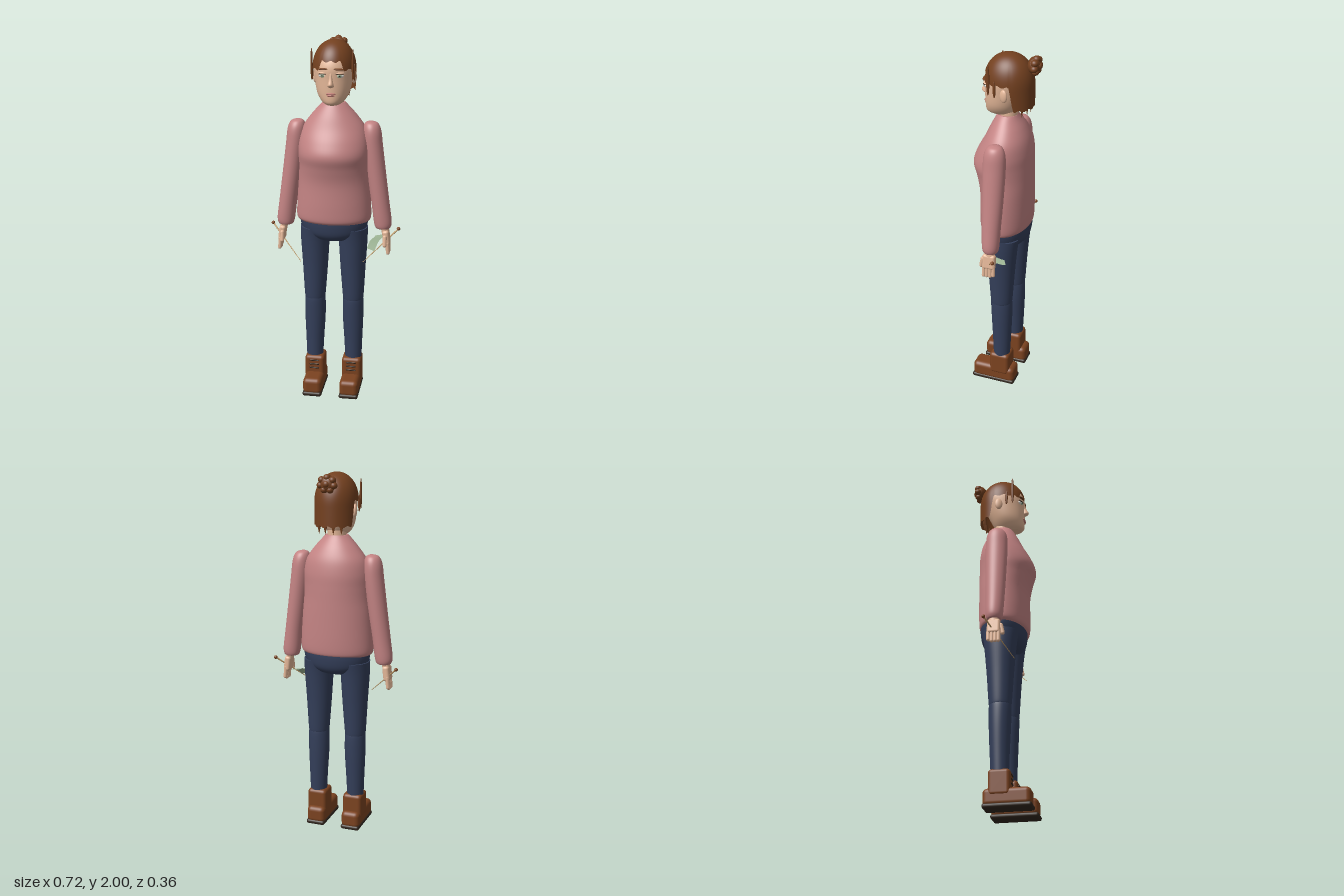
import * as THREE from 'three';
import { RoundedBoxGeometry } from 'three/addons/geometries/RoundedBoxGeometry.js';

const mat = (name, color, side = THREE.FrontSide) => {
  const m = new THREE.MeshStandardMaterial({ color, side });
  m.name = name;
  return m;
};

// Smooth interpolation through a list of number rows
function sample(rows, t) {
  const n = rows.length - 1, f = Math.min(t * n, n - 1e-6), i = Math.floor(f), u = f - i;
  const at = (k) => rows[Math.max(0, Math.min(n, k))];
  return rows[i].map((_, c) => {
    const p0 = at(i - 1)[c], p1 = at(i)[c], p2 = at(i + 1)[c], p3 = at(i + 2)[c];
    const a = (p2 - p0) / 2, b = (p3 - p1) / 2;
    return (2 * p1 - 2 * p2 + a + b) * u ** 3 + (-3 * p1 + 3 * p2 - 2 * a - b) * u * u + a * u + p1;
  });
}

// Grid surface wrapped around the y axis; point(angle, t) gives [x, y, z], t runs upward
function wrap(point, seg, steps, caps) {
  const pos = [], idx = [];
  for (let j = 0; j <= steps; j++)
    for (let i = 0; i < seg; i++) pos.push(...point((i / seg) * Math.PI * 2, j / steps));
  for (let j = 0; j < steps; j++)
    for (let i = 0; i < seg; i++) {
      const k = (i + 1) % seg, a = j * seg + i, b = j * seg + k;
      idx.push(a, b, b + seg, a, b + seg, a + seg);
    }
  if (caps) for (const t of [0, 1]) {
    const base = pos.length / 3, c = [0, 0, 0];
    for (let i = 0; i < seg; i++) {
      const p = point((i / seg) * Math.PI * 2, t);
      pos.push(...p);
      p.forEach((v, q) => { c[q] += v / seg; });
    }
    pos.push(...c);
    for (let i = 0; i < seg; i++) {
      const k = (i + 1) % seg;
      idx.push(base + seg, base + (t ? i : k), base + (t ? k : i));
    }
  }
  const g = new THREE.BufferGeometry();
  g.setAttribute('position', new THREE.Float32BufferAttribute(pos, 3));
  g.setIndex(idx);
  g.computeVertexNormals();
  return g;
}

// Oval cross-sections: [y, centre x, half width, front z, back z]
const loft = (rows, s = 1, seg = 40, steps = rows.length * 5) => wrap((a, t) => {
  const [y, cx, rx, zf, zb] = sample(rows, t);
  return [s * cx + rx * Math.sin(a), y, (zf + zb) / 2 + ((zf - zb) / 2) * Math.cos(a)];
}, seg, steps, true);

export function createModel() {
  const root = new THREE.Group();
  root.name = 'woman';
  const M = {
    wool: mat('pink wool', 0xc48484),
    denim: mat('navy denim', 0x343f5a),
    hair: mat('brown hair', 0x73401f, THREE.DoubleSide),
    skin: mat('skin', 0xe4b798),
    leather: mat('boot leather', 0x7c4320),
    dark: mat('dark brown', 0x33281f),
    wood: mat('light wood', 0xbf9a66),
    green: mat('sage green', 0x9db494, THREE.DoubleSide),
    white: mat('eye white', 0xeeeae4),
    lip: mat('lips', 0xb9746c),
  };
  const add = (name, geo, m, p = [0, 0, 0], scale = [1, 1, 1], rot = [0, 0, 0]) => {
    const mesh = new THREE.Mesh(geo, m);
    mesh.name = name;
    mesh.position.set(...p);
    mesh.scale.set(...scale);
    mesh.rotation.set(...rot);
    root.add(mesh);
    return mesh;
  };
  const ball = new THREE.SphereGeometry(1, 24, 16);
  const box = (w, h, d, r) => new RoundedBoxGeometry(w, h, d, 3, r);
  // Tapered rod between two points
  const rod = (name, a, b, ra, rb, m) => {
    const p = new THREE.Vector3(...a), q = new THREE.Vector3(...b), d = q.clone().sub(p);
    const mesh = add(name, new THREE.CylinderGeometry(rb, ra, d.length(), 12), m);
    mesh.position.copy(p).add(q).multiplyScalar(0.5);
    mesh.quaternion.setFromUnitVectors(new THREE.Vector3(0, 1, 0), d.normalize());
  };

  // Sweater body and hips
  add('sweater', loft([
    [1.02, 0, 0.192, 0.128, -0.122], [1.04, 0, 0.204, 0.14, -0.132], [1.11, 0, 0.203, 0.143, -0.136],
    [1.24, 0, 0.194, 0.144, -0.137], [1.33, 0, 0.188, 0.162, -0.137], [1.4, 0, 0.19, 0.18, -0.137],
    [1.47, 0, 0.186, 0.156, -0.135], [1.54, 0, 0.166, 0.118, -0.122], [1.6, 0, 0.124, 0.09, -0.096],
    [1.65, 0, 0.08, 0.064, -0.064], [1.67, 0, 0.06, 0.052, -0.053]], 1, 56), M.wool);
  add('hips', loft([
    [0.905, 0, 0.05, 0.05, -0.05], [0.918, 0, 0.11, 0.09, -0.09], [0.95, 0, 0.165, 0.116, -0.116],
    [1.0, 0, 0.185, 0.126, -0.126], [1.05, 0, 0.188, 0.127, -0.126]]), M.denim);
  add('neck', loft([[1.62, 0, 0.052, 0.05, -0.052], [1.76, 0, 0.05, 0.05, -0.055]]), M.skin);

  // Head
  add('head', loft([
    [1.668, 0, 0.036, 0.1, -0.02], [1.685, 0, 0.06, 0.117, -0.045], [1.73, 0, 0.086, 0.12, -0.07],
    [1.8, 0, 0.1, 0.121, -0.1], [1.87, 0, 0.105, 0.12, -0.115], [1.93, 0, 0.085, 0.09, -0.09],
    [1.97, 0, 0.03, 0.03, -0.03]]), M.skin);
  add('nose', loft([
    [1.765, 0, 0.008, 0.124, 0.1], [1.773, 0, 0.017, 0.138, 0.1], [1.785, 0, 0.015, 0.145, 0.1],
    [1.81, 0, 0.01, 0.132, 0.1], [1.845, 0, 0.008, 0.122, 0.1]], 1, 20), M.skin);
  add('upperLip', ball, M.lip, [0, 1.733, 0.118], [0.026, 0.006, 0.008]);
  add('lowerLip', ball, M.lip, [0, 1.724, 0.118], [0.021, 0.006, 0.008]);

  // Hair cap with a hem that is high at the forehead and low at the nape
  const step = THREE.MathUtils.smoothstep;
  add('hairCap', wrap((ang, t) => {
    const a = Math.min(ang, Math.PI * 2 - ang);
    const hem = 1.9 - 0.045 * step(a, 0.45, 0.62) - 0.13 * step(a, 1.8, 2.05) + 0.005 * Math.cos(a * 14);
    const y = hem + (2.0 - hem) * Math.sin((t * Math.PI) / 2);
    const h = Math.max(0, (y - 1.83) / 0.17);
    const r = Math.sqrt(Math.max(0, 1 - h ** 2.4));
    return [0.116 * r * Math.sin(ang), y, -0.007 + 0.133 * r * Math.cos(ang)];
  }, 96, 28, false), M.hair);
  for (const x of [-0.06, -0.02, 0.025, 0.065])
    add('napeLock', new THREE.ConeGeometry(0.014, 0.06, 10), M.hair,
      [x, 1.712, -0.12 + Math.abs(x) * 0.35], [1, 1, 0.7], [Math.PI, 0, 0]);

  // Bun made of a core and a ring of twisted lobes
  add('bunCore', ball, M.hair, [0, 1.95, -0.14], [0.045, 0.044, 0.034]);
  for (let i = 0; i < 7; i++) {
    const a = (i / 7) * Math.PI * 2 + Math.PI / 2;
    add('bunLobe', ball, M.hair, [0.038 * Math.cos(a), 1.95 + 0.033 * Math.sin(a), -0.15], [0.019, 0.018, 0.02]);
  }
  add('bunCentre', ball, M.hair, [0, 1.95, -0.166], [0.018, 0.018, 0.016]);

  for (const s of [1, -1]) {
    // Eyes, brows, ears and face locks
    add('eyeWhite', ball, M.white, [s * 0.045, 1.827, 0.105], [0.022, 0.011, 0.01], [0, s * 0.3, 0]);
    add('iris', ball, M.green, [s * 0.045, 1.827, 0.112], [0.011, 0.0105, 0.005], [0, s * 0.3, 0]);
    add('pupil', ball, M.dark, [s * 0.045, 1.827, 0.115], [0.005, 0.005, 0.0035]);
    add('eyelid', ball, M.skin, [s * 0.045, 1.84, 0.106], [0.025, 0.006, 0.012], [0, s * 0.3, 0]);
    add('lashLine', ball, M.dark, [s * 0.045, 1.835, 0.11], [0.024, 0.0025, 0.009], [0, s * 0.3, s * -0.08]);
    add('brow', ball, M.hair, [s * 0.042, 1.861, 0.112], [0.028, 0.0055, 0.01], [0, s * 0.25, s * -0.06]);
    add('ear', ball, M.skin, [s * 0.104, 1.803, -0.012], [0.012, 0.035, 0.022], [0, s * -0.3, 0]);
    add('faceLock', ball, M.hair, [s * 0.108, 1.88, 0.07], [0.006, 0.082, 0.009]);
    add('earLock', ball, M.hair, [s * 0.111, 1.835, 0.035], [0.006, 0.045, 0.008]);

    // Sleeve, wrist and hand
    add('sleeve', loft([
      [1.572, 0.196, 0.012, 0.012, -0.014], [1.56, 0.2, 0.036, 0.038, -0.04], [1.52, 0.204, 0.049, 0.056, -0.057],
      [1.44, 0.211, 0.052, 0.06, -0.061], [1.28, 0.232, 0.051, 0.057, -0.057], [1.12, 0.255, 0.049, 0.052, -0.05],
      [1.02, 0.268, 0.049, 0.047, -0.046], [0.985, 0.27, 0.042, 0.041, -0.04], [0.977, 0.271, 0.03, 0.03, -0.03]].reverse(), s), M.wool);
    add('wrist', loft([[0.94, 0.287, 0.02, 0.028, -0.026], [1.0, 0.276, 0.022, 0.028, -0.028]], s, 20), M.skin);
    add('palm', box(0.036, 0.085, 0.072, 0.014), M.skin, [s * 0.29, 0.928, 0.002], [1, 1, 1], [0, 0, s * 0.12]);
    for (let i = 0; i < 4; i++)
      add('finger', new THREE.CapsuleGeometry(0.0105, 0.055, 4, 10), M.skin,
        [s * 0.3, 0.872 + (i === 3 ? 0.008 : 0), 0.029 - i * 0.018], [1, 1, 1], [0, 0, s * 0.08]);
    add('thumb', new THREE.CapsuleGeometry(0.0115, 0.045, 4, 10), M.skin,
      [s * 0.285, 0.915, 0.044], [1, 1, 1], [-0.2, 0, 0]);

    // Knitting needle with end knob
    const knob = [s * 0.352, 0.963, -0.04], tip = [s * 0.172, s > 0 ? 0.805 : 0.79, 0.09];
    rod('needle', tip, knob, 0.0015, 0.0045, M.wood);
    add('needleKnob', ball, M.leather, knob, [0.01, 0.01, 0.01]);

    // Trouser legs
    add('thigh', loft([
      [0.555, 0.108, 0.055, 0.058, -0.058], [0.58, 0.108, 0.059, 0.062, -0.062], [0.75, 0.106, 0.07, 0.074, -0.074],
      [0.9, 0.106, 0.079, 0.088, -0.088], [0.98, 0.104, 0.082, 0.1, -0.1]], s), M.denim);
    add('shin', loft([
      [0.18, 0.111, 0.046, 0.046, -0.048], [0.3, 0.11, 0.051, 0.05, -0.054], [0.45, 0.108, 0.058, 0.057, -0.06],
      [0.55, 0.108, 0.057, 0.06, -0.06], [0.575, 0.108, 0.05, 0.052, -0.052]], s), M.denim);

    // Boot with sole and laces
    add('bootShaft', box(0.11, 0.14, 0.116, 0.02), M.leather, [s * 0.106, 0.132, 0.002]);
    add('bootFoot', box(0.106, 0.094, 0.25, 0.026), M.leather, [s * 0.104, 0.058, 0.04]);
    add('bootSole', box(0.108, 0.026, 0.256, 0.012), M.dark, [s * 0.104, 0.013, 0.041]);
    for (const y of [0.13, 0.153, 0.176])
      add('lace', box(0.055, 0.008, 0.008, 0.003), M.dark, [s * 0.106, y, 0.06]);
  }

  // Small knitted swatch hanging off the left needle, with a gentle wave
  const swatch = new THREE.PlaneGeometry(1, 1, 10, 6), P = swatch.attributes.position;
  const c = [[0.188, 0.87, 0.045], [0.23, 0.855, 0.045], [0.222, 0.922, -0.06], [0.272, 0.925, -0.085]];
  for (let i = 0; i < P.count; i++) {
    const u = P.getX(i) + 0.5, v = P.getY(i) + 0.5;
    const q = [0, 1, 2].map((k) => (c[0][k] * (1 - u) + c[1][k] * u) * (1 - v) + (c[2][k] * (1 - u) + c[3][k] * u) * v);
    P.setXYZ(i, q[0], q[1] + 0.012 * Math.sin(v * Math.PI * 1.5), q[2]);
  }
  swatch.computeVertexNormals();
  add('knittedSwatch', swatch, M.green);

  return root;
}
